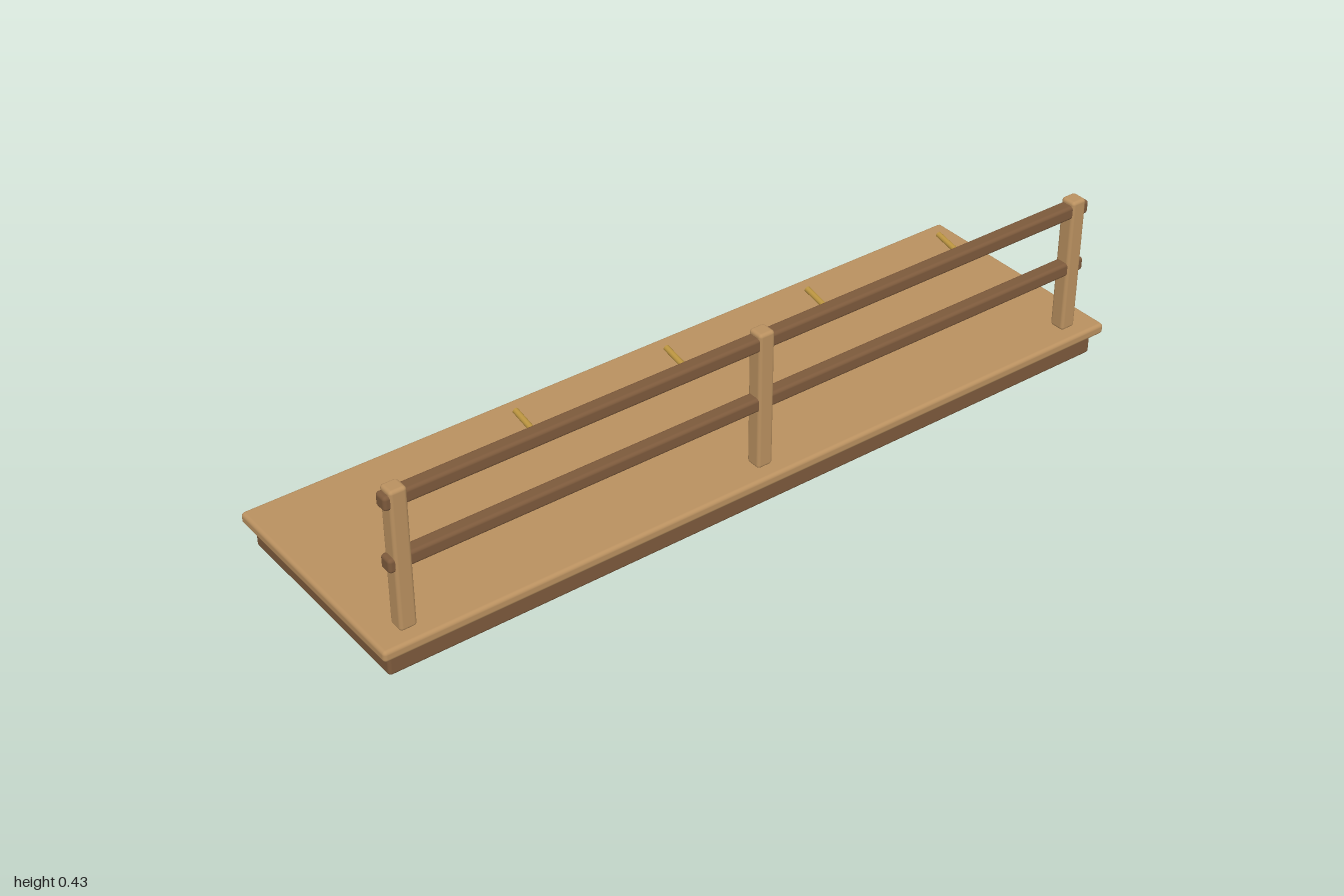
import * as THREE from 'three';
import { RoundedBoxGeometry } from 'three/addons/geometries/RoundedBoxGeometry.js';

export function createModel() {
  const model = new THREE.Group();
  model.name = 'platformWithRailing';

  const material = (name, color) => {
    const m = new THREE.MeshStandardMaterial({ color });
    m.name = name;
    return m;
  };
  const lightWood = material('lightWood', 0xba9160);
  const darkWood = material('darkWood', 0x7d5a3c);
  const brass = material('brass', 0xb8923f);

  const add = (name, geometry, mat, x, y, z) => {
    const mesh = new THREE.Mesh(geometry, mat);
    mesh.name = name;
    mesh.position.set(x, y, z);
    model.add(mesh);
    return mesh;
  };
  const box = (name, mat, size, radius, x, y, z) =>
    add(name, new RoundedBoxGeometry(...size, 3, radius), mat, x, y, z);

  // Platform: recessed plinth under a wider deck
  box('plinth', darkWood, [0.545, 0.058, 1.96], 0.008, 0, 0.029, 0);
  box('deck', lightWood, [0.587, 0.028, 2], 0.009, 0, 0.0715, 0);

  // Railing along the left edge
  const railX = 0.2365;
  for (const z of [-0.917, 0, 0.917]) {
    box('post', lightWood, [0.041, 0.35, 0.041], 0.008, railX, 0.259, z);
  }
  for (const y of [0.2525, 0.4065]) {
    box('rail', darkWood, [0.035, 0.035, 1.9], 0.008, railX, y, 0);
  }

  // Pegs slanting up and inward from the top rail
  const pegGeometry = new THREE.CylinderGeometry(0.0068, 0.0068, 0.078, 12);
  for (const z of [-0.575, -0.192, 0.192, 0.575]) {
    const peg = add('peg', pegGeometry, brass, 0.191, 0.4117, z);
    peg.rotation.z = Math.PI / 2 - 0.22;
  }

  return model;
}
